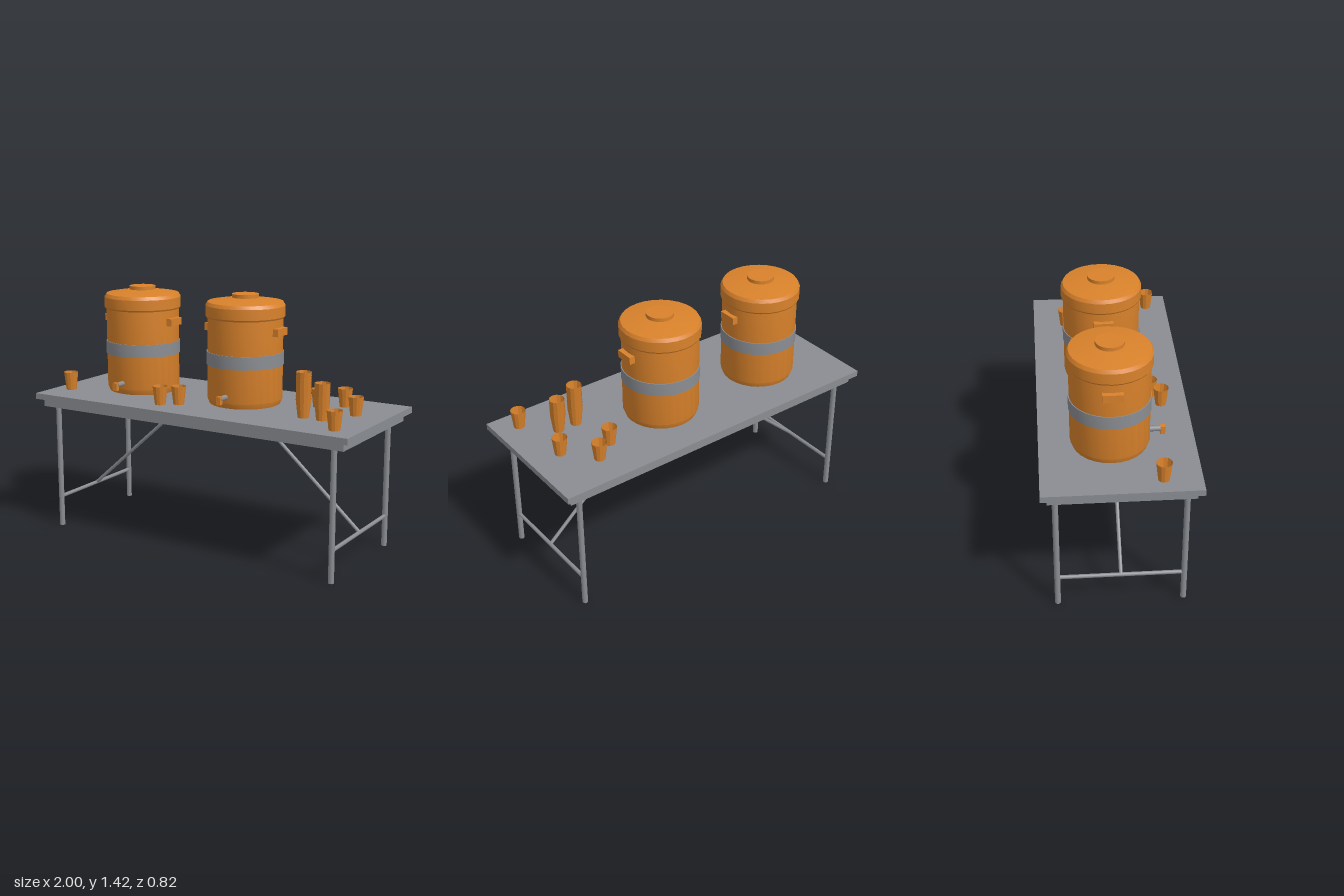
import * as THREE from 'three';
import { toCreasedNormals } from 'three/addons/utils/BufferGeometryUtils.js';

export function createModel() {
  const root = new THREE.Group();
  root.name = 'drinksTable';

  const gray = new THREE.MeshStandardMaterial({ color: 0x8a8d92 });
  gray.name = 'steelGray';
  const orange = new THREE.MeshStandardMaterial({ color: 0xd9822b });
  orange.name = 'orangePlastic';
  const cupOrange = new THREE.MeshStandardMaterial({ color: 0xd9822b, side: THREE.DoubleSide, flatShading: true });
  cupOrange.name = 'orangeCup';

  const add = (parent, name, geo, mat, x = 0, y = 0, z = 0) => {
    const m = new THREE.Mesh(geo, mat);
    m.name = name;
    m.position.set(x, y, z);
    parent.add(m);
    return m;
  };
  const box = (w, h, d) => new THREE.BoxGeometry(w, h, d);
  const lathe = (pts) => toCreasedNormals(
    new THREE.LatheGeometry(pts.map(([r, y]) => new THREE.Vector2(r, y)), 28), 0.35);
  // round bar between two points
  const bar = (parent, name, a, b, r) => {
    const p = new THREE.Vector3(...a), q = new THREE.Vector3(...b);
    const d = q.clone().sub(p);
    const m = add(parent, name, new THREE.CylinderGeometry(r, r, d.length(), 10), gray);
    m.position.copy(p).add(q).multiplyScalar(0.5);
    m.quaternion.setFromUnitVectors(new THREE.Vector3(0, 1, 0), d.normalize());
  };

  // Folding table
  const table = new THREE.Group();
  table.name = 'table';
  root.add(table);
  const top = 0.806;
  add(table, 'tableTop', box(2, 0.034, 0.825), gray, 0, top - 0.017, 0);
  add(table, 'tableApron', box(1.93, 0.045, 0.76), gray, 0, 0.7495, 0);
  for (const s of [-1, 1]) {
    for (const t of [-1, 1]) bar(table, 'leg', [s * 0.893, 0, t * 0.338], [s * 0.893, 0.73, t * 0.338], 0.016);
    bar(table, 'legCrossbar', [s * 0.893, 0.177, -0.338], [s * 0.893, 0.177, 0.338], 0.011);
    bar(table, 'diagonalBrace', [s * 0.893, 0.177, 0], [s * 0.275, 0.722, 0], 0.01);
  }

  // Drink dispensers
  const bodyGeo = lathe([[0, 0], [0.2, 0], [0.211, 0.03], [0.211, 0.5]]);
  const bandGeo = lathe([[0.209, 0.22], [0.216, 0.22], [0.216, 0.294], [0.209, 0.294]]);
  const lidGeo = lathe([[0.205, 0.483], [0.217, 0.483], [0.222, 0.492], [0.222, 0.55],
    [0.211, 0.569], [0.075, 0.591], [0, 0.591]]);
  for (const x of [-0.546, 0.15]) {
    const tank = new THREE.Group();
    tank.name = 'dispenser';
    tank.position.set(x, top, -0.035);
    root.add(tank);
    add(tank, 'tankBody', bodyGeo, orange);
    add(tank, 'tankBand', bandGeo, gray);
    add(tank, 'lid', lidGeo, orange);
    add(tank, 'lidKnob', toCreasedNormals(new THREE.CylinderGeometry(0.075, 0.075, 0.028, 24), 0.5),
      orange, 0, 0.597, 0);
    for (const s of [-1, 1]) add(tank, 'handle', box(0.04, 0.042, 0.106), orange, s * 0.216, 0.416, 0);
    bar(tank, 'tapPipe', [0, 0.065, 0.195], [0, 0.065, 0.272], 0.015);
    add(tank, 'tapSpout', box(0.026, 0.045, 0.026), orange, 0, 0.058, 0.277);
  }

  // Cups: open tapered walls; single cups also have a floor
  const wallGeo = new THREE.CylinderGeometry(0.042, 0.03, 0.104, 12, 1, true).translate(0, 0.052, 0);
  const floorGeo = new THREE.CircleGeometry(0.0305, 12).rotateX(-Math.PI / 2);
  const singles = [[-0.895, 0.213], [-0.22, 0.268], [-0.133, 0.213], [0.562, -0.137],
    [0.682, -0.222], [0.823, -0.06], [0.867, 0.288]];
  for (const [x, z] of singles) {
    add(root, 'cup', wallGeo, cupOrange, x, top, z);
    add(root, 'cupFloor', floorGeo, cupOrange, x, top + 0.004, z);
  }
  for (const [x, z, n] of [[0.605, 0.128, 10], [0.715, 0.128, 7]]) {
    const stack = new THREE.Group();
    stack.name = 'cupStack';
    root.add(stack);
    for (let i = 0; i < n; i++) add(stack, 'stackedCup', wallGeo, cupOrange, x, top + i * 0.016, z);
  }
  return root;
}
